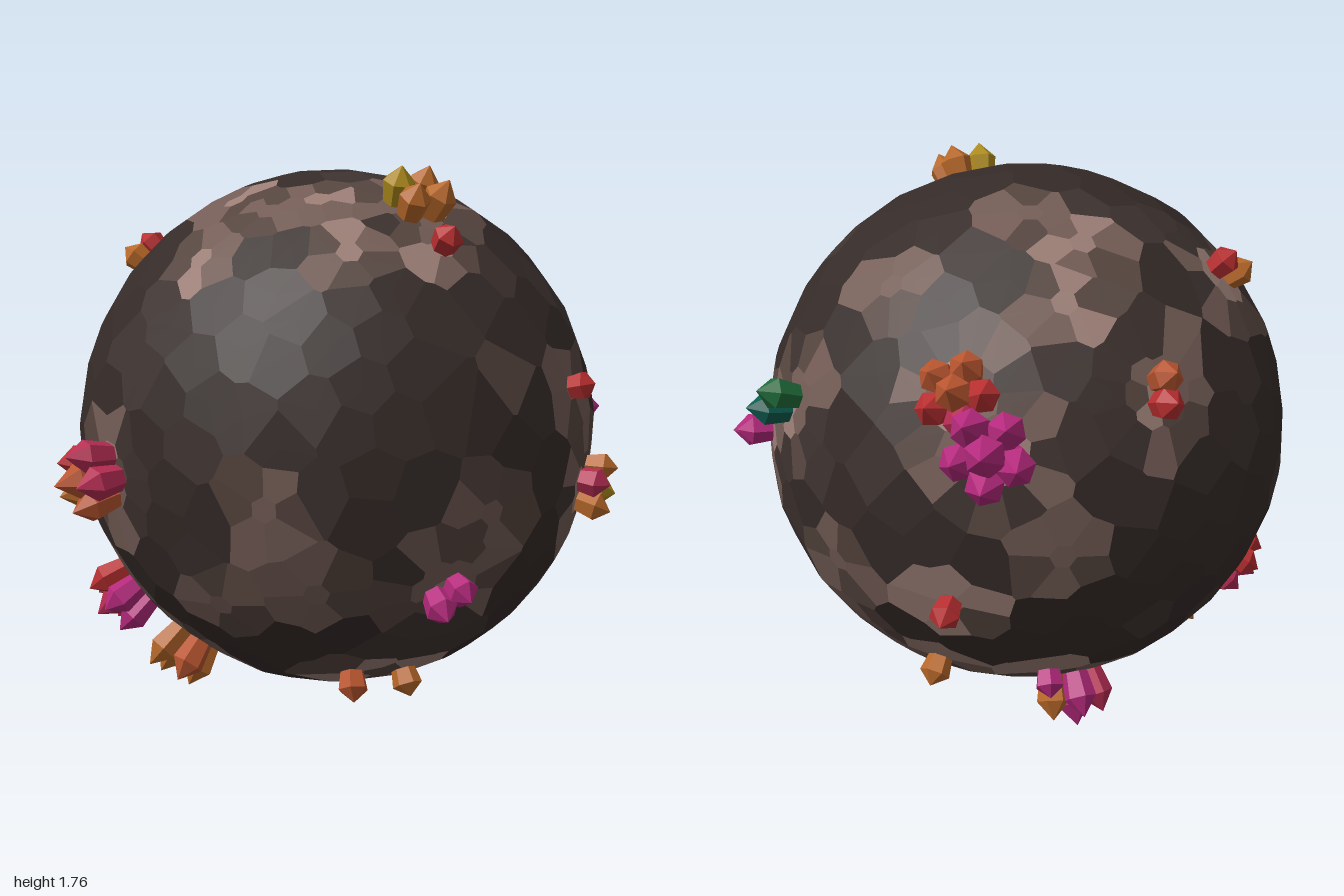
import * as THREE from 'three';
import { ConvexGeometry } from 'three/addons/geometries/ConvexGeometry.js';

const R = 0.849;
const UP = new THREE.Vector3(0, 1, 0);
const V = (x, y, z) => new THREE.Vector3(x, y, z);

let state = 11;
function rand() {
  state = (state * 16807) % 2147483647;
  return state / 2147483647;
}

const material = (color) => new THREE.MeshStandardMaterial({ color, flatShading: true });
const ROCK = [0x352b28, 0x3d322f, 0x56453f, 0x735c55, 0x9a7d75].map(material);
const GEM = {
  red: material(0xb82e30), rust: material(0xb8552f), orange: material(0xb8692a),
  yellow: material(0xb08c1e), crimson: material(0xb52c52), magenta: material(0xb4297c),
  green: material(0x1f6b3a), teal: material(0x0d5c50),
};

// Crystal clusters: longitude, latitude, turn of the ring, crystal length, colours around the ring
const CLUSTERS = [
  [-9, -6, 0, 0.155, 'crimson crimson red orange rust rust'],
  [-31, -37, 10, 0.14, 'magenta red red crimson magenta crimson'],
  [-107, -62, 20, 0.145, 'crimson magenta orange red magenta magenta'],
  [-120, -50, 0, 0.09, 'magenta'],
  [-19, -53, 0, 0.155, 'rust orange orange orange'],
  [54, -59, 0, 0.1, 'rust'],
  [79, -61, 0, 0.1, 'orange'],
  [73, -28, 37, 0.11, 'magenta magenta'],
  [109, 12, 0, 0.08, 'red'],
  [119, -10, -20, 0.11, 'yellow orange crimson orange'],
  [80, 59, 47, 0.135, 'orange yellow orange orange'],
  [80, 46, 0, 0.1, 'red'],
  [-55, 41, 135, 0.1, 'red orange'],
  [-98, 23, 80, 0.115, 'rust red'],
  [-141, 24, 0, 0.14, 'red rust rust red crimson rust'],
  [-134, 14, -20, 0.21, 'magenta magenta magenta magenta magenta magenta'],
  [172, 14, 50, 0.14, 'green teal'],
  [156, 3, 20, 0.12, 'magenta magenta'],
  [-155, -46, 0, 0.1, 'orange'],
  [-144, -21, 0, 0.1, 'red'],
];

// Pale stony spots without crystals: longitude, latitude
const SPOTS = [
  [6, 43], [20, 58], [-6, 62], [51, 45], [33, -9], [43, -28], [18, -33], [-106, 57], [-125, 67], [39, 63],
  [-117, 43], [-120, -8], [-168, 44], [-173, -17], [150, -38], [143, 2], [81, -11], [101, -83], [-175, -40],
];
// Broad, slightly lighter plates
const PLATES = [[-38, 19], [-35, 9], [87, 14]];

// Unit direction from longitude (0 is front, 90 is +x) and latitude
function direction(lon, lat) {
  const { degToRad } = THREE.MathUtils;
  return V().setFromSphericalCoords(1, degToRad(90 - lat), degToRad(lon));
}

// Tangent directions pointing east and north at d
function tangents(d) {
  const east = UP.clone().cross(d).normalize();
  return [east, d.clone().cross(east)];
}

// Point on a circle in the tangent plane
function around(d, radius, angle) {
  const [east, north] = tangents(d);
  return east.multiplyScalar(radius * Math.cos(angle)).addScaledVector(north, radius * Math.sin(angle));
}

// Cell centres: fine rings at spots and clusters, coarse spiral elsewhere
function makeSeeds() {
  const seeds = [];
  const add = (p, tone, gap) => {
    if (seeds.every((s) => s.p.distanceTo(p) > gap)) seeds.push({ p, tone, fan: [] });
  };
  const ring = (d, count, radius, firstTone, tones) => {
    const turn = rand() * 6;
    for (let i = 0; i < count; i++) {
      const p = around(d, radius, turn + (i / count) * Math.PI * 2).add(d).normalize();
      add(p, firstTone + Math.floor(rand() * tones), 0.056);
    }
  };
  const patch = (d, bright, outerRing) => {
    add(d, 3 + bright, 0.05);
    ring(d, 6, 0.085, 2, 2 + bright);
    if (outerRing) ring(d, 12, 0.17, 1, 3);
  };
  for (const [lon, lat] of SPOTS) patch(direction(lon, lat), rand() < 0.4 ? 1 : 0, false);
  for (const [lon, lat, , , colours] of CLUSTERS) patch(direction(lon, lat), 1, colours.includes(' '));
  for (const [lon, lat] of PLATES) add(direction(lon, lat), 2, 0.1);
  const total = 400;
  for (let i = 0; i < total; i++) {
    const p = V().setFromSphericalCoords(1, Math.acos(1 - (2 * i + 1) / total), i * 2.39996);
    p.add(V(rand() - 0.5, rand() - 0.5, rand() - 0.5).multiplyScalar(0.09)).normalize();
    add(p, rand() < 0.8 ? 0 : 1, 0.115);
  }
  return seeds;
}

// Rocky globe: each cell is a flat facet tangent to the sphere, grouped by tone
function makeGlobe() {
  const seeds = makeSeeds();
  const key = (p) => p.toArray().map((c) => Math.round(Math.fround(c) * 1e4)).join();
  const lookup = new Map(seeds.map((s) => [key(s.p), s]));
  const hull = new ConvexGeometry(seeds.map((s) => s.p)).attributes.position;
  for (let i = 0; i < hull.count; i += 3) {
    const [a, b, c] = [0, 1, 2].map((k) => V().fromBufferAttribute(hull, i + k));
    const n = b.clone().sub(a).cross(c.clone().sub(a)).normalize();
    const corner = n.clone().multiplyScalar(R / n.dot(a));
    for (const p of [a, b, c]) lookup.get(key(p)).fan.push(corner);
  }
  const tones = ROCK.map(() => []);
  for (const { p, tone, fan } of seeds) {
    const [u, v] = tangents(p);
    const angle = (q) => Math.atan2(q.dot(v), q.dot(u));
    fan.sort((q, w) => angle(q) - angle(w));
    const centre = p.clone().multiplyScalar(R);
    fan.forEach((q, i) => {
      for (const w of [centre, q, fan[(i + 1) % fan.length]]) tones[tone].push(w.x, w.y, w.z);
    });
  }
  const globe = new THREE.Group();
  globe.name = 'rockyGlobe';
  tones.forEach((points, i) => {
    const g = new THREE.BufferGeometry();
    g.setAttribute('position', new THREE.Float32BufferAttribute(points, 3));
    g.computeVertexNormals();
    const mesh = new THREE.Mesh(g, ROCK[i]);
    mesh.name = 'rockFacets' + (i + 1);
    globe.add(mesh);
  });
  return globe;
}

// Six-sided crystal, widening to a shoulder and then pointed
function makeCrystal(length) {
  const width = 0.04 + length * 0.09;
  const profile = [[0.0001, -0.04], [width * 0.66, -0.04], [width, length * 0.58], [0.0001, length]];
  return new THREE.LatheGeometry(profile.map(([x, y]) => new THREE.Vector2(x, y)), 6);
}

// Ring of crystals leaning outward; clusters above four have a taller one in the middle
function makeCluster([lon, lat, turn, length, colours]) {
  const group = new THREE.Group();
  group.name = 'crystalCluster';
  const d = direction(lon, lat);
  const names = colours.split(' ');
  const ringCount = names.length > 4 ? names.length - 1 : names.length;
  const radius = names.length === 1 ? 0 : names.length === 2 ? 0.045 : 0.05 + names.length * 0.006;
  names.forEach((colour, i) => {
    const middle = i === ringCount;
    const angle = THREE.MathUtils.degToRad(turn) + (i / ringCount) * Math.PI * 2;
    const offset = around(d, middle ? 0 : radius, angle);
    const crystal = new THREE.Mesh(makeCrystal(length * (middle ? 1.2 : 0.9 + 0.15 * rand())), GEM[colour]);
    crystal.name = colour + 'Crystal';
    crystal.position.copy(d).multiplyScalar(R).addScaledVector(offset, 0.78).setLength(R);
    crystal.quaternion.setFromUnitVectors(UP, d.clone().addScaledVector(offset, 1.9).normalize());
    crystal.rotateY(rand() * 6);
    group.add(crystal);
  });
  return group;
}

export function createModel() {
  const model = new THREE.Group();
  model.name = 'crystalPlanet';
  const planet = new THREE.Group();
  planet.name = 'planet';
  planet.position.set(0, 0.913, -0.027);
  planet.add(makeGlobe(), ...CLUSTERS.map(makeCluster));
  model.add(planet);
  return model;
}
